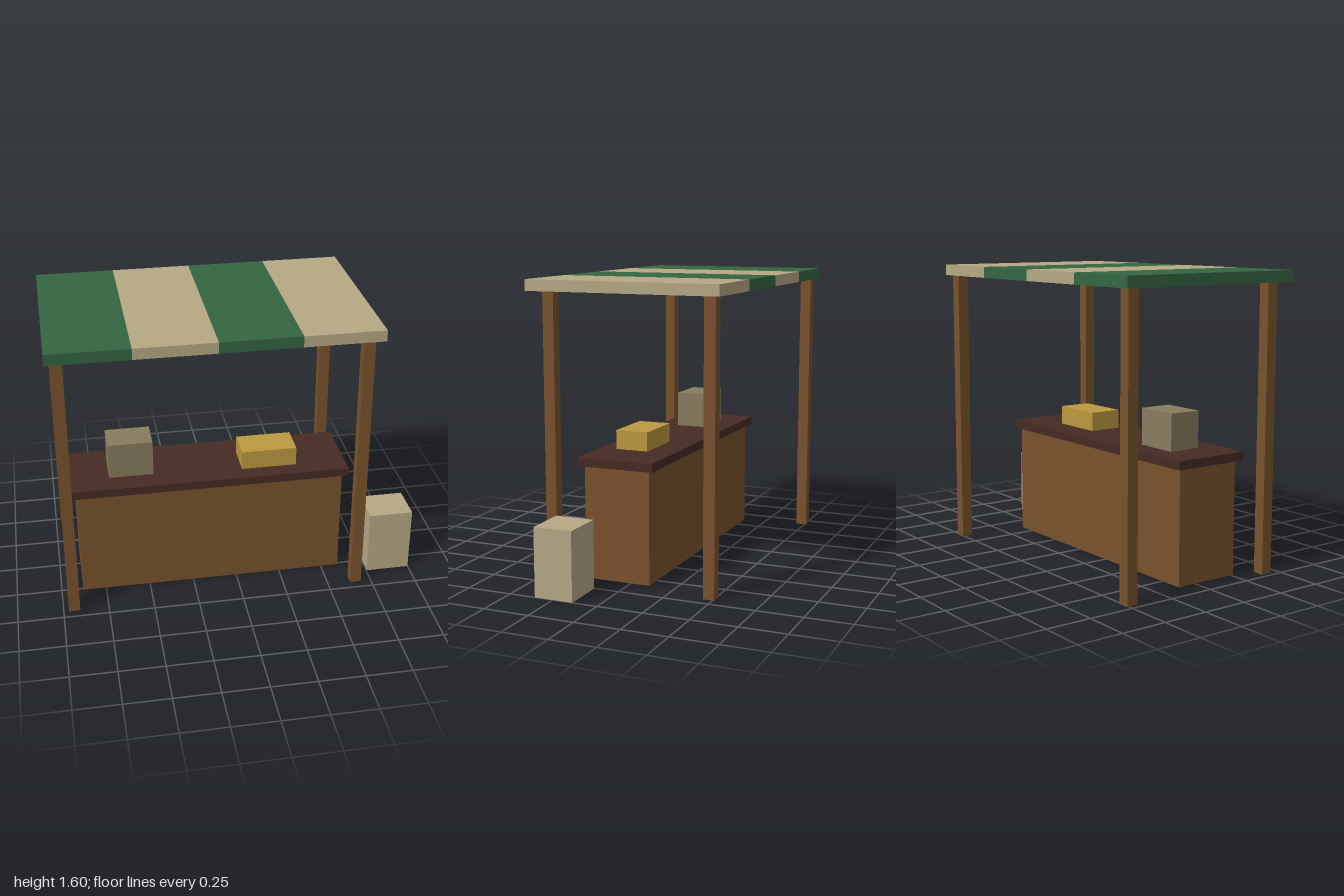
import * as THREE from 'three';

const material = (name, color) => {
  const m = new THREE.MeshStandardMaterial({ color });
  m.name = name;
  return m;
};

export function createModel() {
  const wood = material('brown wood', 0x79532c);
  const darkWood = material('dark wood', 0x462b23);
  const green = material('green cloth', 0x346642);
  const cream = material('cream cloth', 0xb6a885);
  const taupe = material('taupe', 0x887b5e);
  const gold = material('gold', 0xbc993f);

  const stall = new THREE.Group();
  stall.name = 'marketStall';

  // Box given by its [min, max] range on each axis
  function box(name, mat, [x0, x1], [y0, y1], [z0, z1], parent = stall) {
    const mesh = new THREE.Mesh(new THREE.BoxGeometry(x1 - x0, y1 - y0, z1 - z0), mat);
    mesh.position.set((x0 + x1) / 2, (y0 + y1) / 2, (z0 + z1) / 2);
    mesh.name = name;
    parent.add(mesh);
  }

  // Counter with overhanging top
  box('counterBase', wood, [-0.88, 0.6], [0, 0.618], [-0.108, 0.264]);
  box('counterTop', darkWood, [-0.91, 0.63], [0.618, 0.665], [-0.138, 0.294]);

  // Four corner posts
  for (const [side, x] of [['Right', -0.94], ['Left', 0.66]]) {
    for (const [end, z] of [['front', 0.42], ['back', -0.478]]) {
      box(`${end}${side}Post`, wood, [x - 0.031, x + 0.031], [0, 1.54], [z - 0.031, z + 0.031]);
    }
  }

  // Canopy of four alternating stripes
  const canopy = new THREE.Group();
  canopy.name = 'canopy';
  stall.add(canopy);
  const left = -1, stripe = 0.43;
  for (let i = 0; i < 4; i++) {
    const x = left + i * stripe;
    box(`canopyStripe${i + 1}`, i % 2 ? cream : green, [x, x + stripe], [1.54, 1.6], [-0.538, 0.538], canopy);
  }

  // Goods on the counter and the sack beside it
  box('tallCrate', taupe, [-0.695, -0.449], [0.665, 0.865], [-0.014, 0.17]);
  box('goldCrate', gold, [0.042, 0.349], [0.665, 0.77], [0.015, 0.2]);
  box('sack', cream, [0.754, 1], [0, 0.372], [0.139, 0.354]);

  return stall;
}
